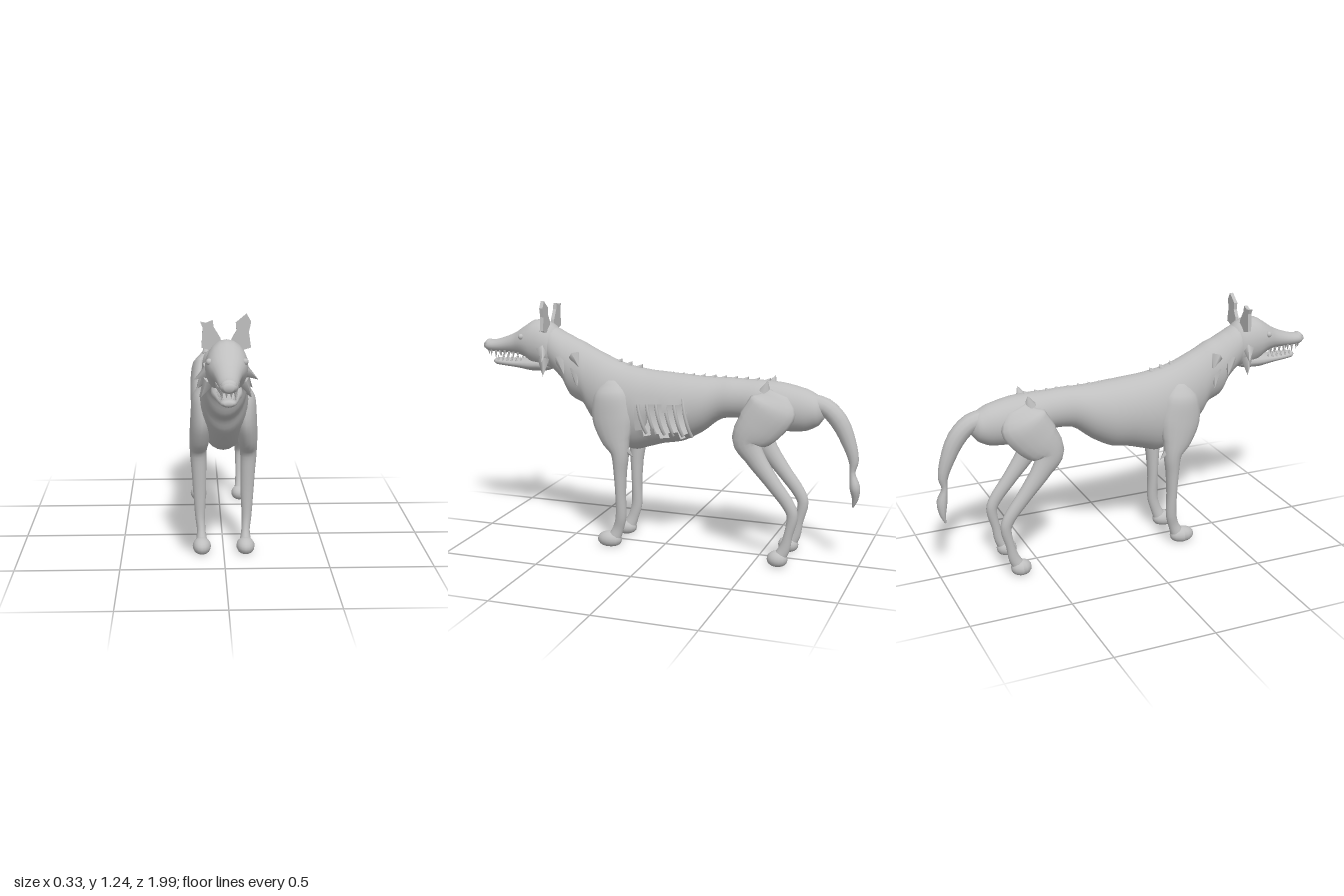
import * as THREE from 'three';

const hide = new THREE.MeshStandardMaterial({ color: 0xbfbfbf, side: THREE.DoubleSide });
hide.name = 'grey hide';

const V = (x, y, z) => new THREE.Vector3(x, y, z);

function add(parent, name, geometry) {
  const mesh = new THREE.Mesh(geometry, hide);
  mesh.name = name;
  parent.add(mesh);
  return mesh;
}

// Smooth skin over elliptical rings; rows are [x, y, z, halfWidth, halfDepth].
// A fixed direction keeps all rings parallel; skip(x, y, z) leaves holes.
function loft(rows, { sides = 16, steps = 3, dir = null, skip = null } = {}) {
  const path = new THREE.CatmullRomCurve3(rows.map(r => V(r[0], r[1], r[2])));
  const size = new THREE.CatmullRomCurve3(rows.map(r => V(r[3], r[4], 0)));
  const n = (rows.length - 1) * steps;
  const X = V(1, 0, 0), pos = [], index = [];
  for (let i = 0; i <= n; i++) {
    const p = path.getPoint(i / n), s = size.getPoint(i / n);
    const B = (dir || path.getTangent(i / n)).clone().cross(X).normalize();
    for (let j = 0; j < sides; j++) {
      const a = (j / sides) * Math.PI * 2;
      const q = p.clone().addScaledVector(X, Math.cos(a) * s.x).addScaledVector(B, Math.sin(a) * s.y);
      pos.push(q.x, q.y, q.z);
    }
  }
  for (let i = 0; i < n; i++) for (let j = 0; j < sides; j++) {
    const k = (j + 1) % sides;
    const a = i * sides + j, b = i * sides + k, c = b + sides, d = a + sides;
    const mid = o => (pos[a * 3 + o] + pos[c * 3 + o]) / 2;
    if (skip && skip(mid(0), mid(1), mid(2))) continue;
    index.push(a, b, c, a, c, d);
  }
  // end caps
  const first = pos.length / 3;
  pos.push(...path.getPoint(0).toArray(), ...path.getPoint(1).toArray());
  for (let j = 0; j < sides; j++) {
    const k = (j + 1) % sides;
    index.push(first, k, j, first + 1, n * sides + j, n * sides + k);
  }
  const g = new THREE.BufferGeometry();
  g.setAttribute('position', new THREE.Float32BufferAttribute(pos, 3));
  g.setIndex(index);
  g.computeVertexNormals();
  return g;
}

// Slices across z given as [z, top, bottom, halfWidth]
const slices = rows => rows.map(([z, t, b, w]) => [0, (t + b) / 2, z, w, (t - b) / 2]);

// Pointed tuft from base to tip
function tuft(parent, name, base, tip, radius, sides = 5) {
  const d = tip.clone().sub(base);
  const g = new THREE.ConeGeometry(radius, d.length(), sides);
  g.translate(0, d.length() / 2, 0);
  const m = add(parent, name, g);
  m.quaternion.setFromUnitVectors(V(0, 1, 0), d.normalize());
  m.position.copy(base);
}

// Paw with a flat sole
function paw(parent, x, z, length) {
  const g = new THREE.SphereGeometry(1, 16, 10);
  g.scale(0.045, 0.042, length);
  const p = g.attributes.position;
  for (let i = 0; i < p.count; i++) p.setY(i, Math.max(p.getY(i), -0.032));
  g.computeVertexNormals();
  add(parent, 'paw', g).position.set(x, 0.032, z);
}

export function createModel() {
  const model = new THREE.Group();
  model.name = 'gaunt hound';

  // Trunk and neck, open on the left flank
  const wound = (x, y, z) => x > 0 && z < 0.12 && z > -0.15 &&
    y > 0.61 + 0.02 * Math.sin(z * 70) && y < 0.755 + 0.015 * Math.sin(z * 50);
  add(model, 'body', loft(slices([
    [-0.81, 0.80, 0.73, 0.03], [-0.78, 0.835, 0.69, 0.065], [-0.72, 0.865, 0.66, 0.085],
    [-0.6, 0.89, 0.655, 0.1], [-0.5, 0.895, 0.68, 0.1], [-0.4, 0.895, 0.7, 0.088],
    [-0.3, 0.895, 0.69, 0.09], [-0.2, 0.895, 0.615, 0.115], [-0.1, 0.9, 0.56, 0.128],
    [0, 0.905, 0.54, 0.132], [0.08, 0.91, 0.515, 0.132], [0.16, 0.922, 0.495, 0.13],
    [0.25, 0.945, 0.53, 0.122], [0.33, 0.978, 0.59, 0.115], [0.39, 1.005, 0.645, 0.108],
    [0.43, 1.025, 0.71, 0.104], [0.5, 1.055, 0.745, 0.1], [0.54, 1.072, 0.82, 0.095],
    [0.6, 1.1, 0.88, 0.088], [0.66, 1.1, 0.92, 0.06],
  ]), { sides: 28, steps: 4, dir: V(0, 0, 1), skip: wound }));

  // Bare ribs in the opening
  for (let i = 0; i < 6; i++) {
    const z = 0.12 - i * 0.048, points = [];
    for (let k = 0; k <= 6; k++) {
      const a = 0.65 - k * 0.24;
      points.push(V(0.122 * Math.cos(a), 0.72 + 0.165 * Math.sin(a), z - k * 0.008));
    }
    add(model, 'rib', new THREE.TubeGeometry(new THREE.CatmullRomCurve3(points), 12, 0.009, 6));
  }

  // Head
  const head = new THREE.Group();
  head.name = 'head';
  model.add(head);
  add(head, 'skullAndSnout', loft(slices([
    [0.57, 1.08, 0.9, 0.06], [0.61, 1.115, 0.88, 0.088], [0.66, 1.133, 0.885, 0.096],
    [0.71, 1.13, 0.9, 0.094], [0.76, 1.1, 0.935, 0.084], [0.81, 1.065, 0.95, 0.066],
    [0.87, 1.037, 0.952, 0.052], [0.93, 1.018, 0.952, 0.043], [0.975, 1.012, 0.955, 0.038],
    [1.0, 1.0, 0.968, 0.02],
  ]), { sides: 20, dir: V(0, 0, 1) }));
  add(head, 'lowerJaw', loft(slices([
    [0.6, 0.93, 0.885, 0.04], [0.66, 0.945, 0.868, 0.07], [0.72, 0.94, 0.866, 0.07],
    [0.8, 0.925, 0.876, 0.055], [0.88, 0.92, 0.882, 0.043], [0.93, 0.92, 0.886, 0.033],
    [0.945, 0.912, 0.895, 0.018],
  ]), { dir: V(0, 0, 1) }));
  const nose = add(head, 'nose', new THREE.SphereGeometry(0.03, 14, 10));
  nose.scale.set(1.2, 0.9, 0.8);
  nose.position.set(0, 0.99, 0.973);

  for (const s of [1, -1]) {
    const eye = add(head, 'eye', new THREE.SphereGeometry(0.015, 10, 8));
    eye.position.set(s * 0.078, 1.05, 0.755);
    // Teeth along both jaws
    for (let i = 0; i < 7; i++) {
      const z = 0.79 + i * 0.027, w = 0.056 - i * 0.004;
      const long = i === 5 ? 0.045 : 0.028;
      tuft(head, 'upperTooth', V(s * w * 0.85, 0.965, z), V(s * w * 0.85, 0.962 - long, z), 0.008);
      if (i < 6) tuft(head, 'lowerTooth', V(s * w * 0.75, 0.908, z - 0.012), V(s * w * 0.75, 0.945, z - 0.012), 0.008);
    }
    tuft(head, 'frontTooth', V(s * 0.01, 0.965, 0.975), V(s * 0.01, 0.935, 0.972), 0.008);
    // Ragged cheek and neck fur
    for (const [y, z, tx, ty, tz] of [
      [0.99, 0.64, 0.145, 0.94, 0.61], [0.94, 0.63, 0.115, 0.86, 0.62],
      [0.95, 0.54, 0.125, 0.88, 0.5], [0.9, 0.46, 0.12, 0.82, 0.43], [0.97, 0.46, 0.115, 0.92, 0.42],
    ]) tuft(model, 'furTuft', V(s * 0.075, y, z), V(s * tx, ty, tz), 0.032);
  }

  // Torn ears, different on each side
  const earShapes = {
    leftEar: [[0.02, 1.1], [0.025, 1.13], [0.045, 1.165], [0.042, 1.2], [0.09, 1.24], [0.11, 1.205], [0.1, 1.16], [0.11, 1.09], [0.06, 1.075]],
    rightEar: [[-0.02, 1.1], [-0.06, 1.075], [-0.11, 1.09], [-0.105, 1.18], [-0.115, 1.205], [-0.09, 1.2], [-0.06, 1.212], [-0.055, 1.18], [-0.025, 1.13]],
  };
  for (const [name, pts] of Object.entries(earShapes)) {
    const shape = new THREE.Shape(pts.map(p => new THREE.Vector2(...p)));
    add(head, name, new THREE.ExtrudeGeometry(shape, { depth: 0.018, bevelEnabled: false })).position.z = 0.615;
  }

  // Legs
  for (const s of [1, -1]) {
    const leg = rows => loft(rows.map(([x, ...r]) => [s * x, ...r]), { steps: 4 });
    add(model, 'frontLeg', leg([
      [0.08, 0.86, 0.26, 0.02, 0.04], [0.1, 0.79, 0.255, 0.05, 0.09], [0.105, 0.68, 0.245, 0.056, 0.11],
      [0.115, 0.58, 0.225, 0.05, 0.085], [0.123, 0.5, 0.2, 0.041, 0.047], [0.12, 0.4, 0.2, 0.036, 0.034],
      [0.117, 0.28, 0.2, 0.031, 0.027], [0.115, 0.16, 0.2, 0.024, 0.028], [0.11, 0.1, 0.215, 0.021, 0.028],
      [0.108, 0.04, 0.24, 0.03, 0.035],
    ]));
    tuft(model, 'elbowTuft', V(s * 0.12, 0.53, 0.18), V(s * 0.13, 0.485, 0.125), 0.025);
    paw(model, s * 0.108, 0.265, 0.065);
    add(model, 'hindLeg', leg([
      [0.07, 0.85, -0.6, 0.02, 0.05], [0.1, 0.78, -0.575, 0.046, 0.12], [0.11, 0.69, -0.51, 0.048, 0.11],
      [0.113, 0.62, -0.455, 0.044, 0.075], [0.115, 0.54, -0.495, 0.039, 0.052], [0.115, 0.42, -0.585, 0.032, 0.037],
      [0.115, 0.31, -0.67, 0.025, 0.031], [0.115, 0.26, -0.69, 0.023, 0.028], [0.115, 0.16, -0.672, 0.02, 0.022],
      [0.115, 0.09, -0.655, 0.022, 0.028], [0.115, 0.04, -0.63, 0.028, 0.032],
    ]));
    paw(model, s * 0.115, -0.62, 0.052);
    tuft(model, 'hipBone', V(s * 0.065, 0.855, -0.53), V(s * 0.078, 0.91, -0.545), 0.03, 8);
  }

  // Tail with a narrow, tattered end
  add(model, 'tail', loft([
    [0, 0.8, -0.72, 0.05, 0.05], [0, 0.785, -0.81, 0.047, 0.045], [0, 0.72, -0.88, 0.042, 0.045],
    [0, 0.62, -0.93, 0.034, 0.036], [0, 0.53, -0.957, 0.024, 0.025], [0, 0.47, -0.953, 0.018, 0.014],
    [0.005, 0.4, -0.968, 0.03, 0.026], [-0.005, 0.34, -0.97, 0.018, 0.016], [-0.01, 0.295, -0.96, 0.004, 0.004],
  ], { sides: 12 }));

  // Knobbly spine
  for (let i = 0; i < 15; i++) {
    const z = 0.25 - i * 0.055;
    const y = z > 0.1 ? 0.91 + (z - 0.1) * 0.2 : 0.89;
    tuft(model, 'spineTuft', V(0, y - 0.01, z), V(0, y + 0.018, z - 0.02), 0.022);
  }
  return model;
}
